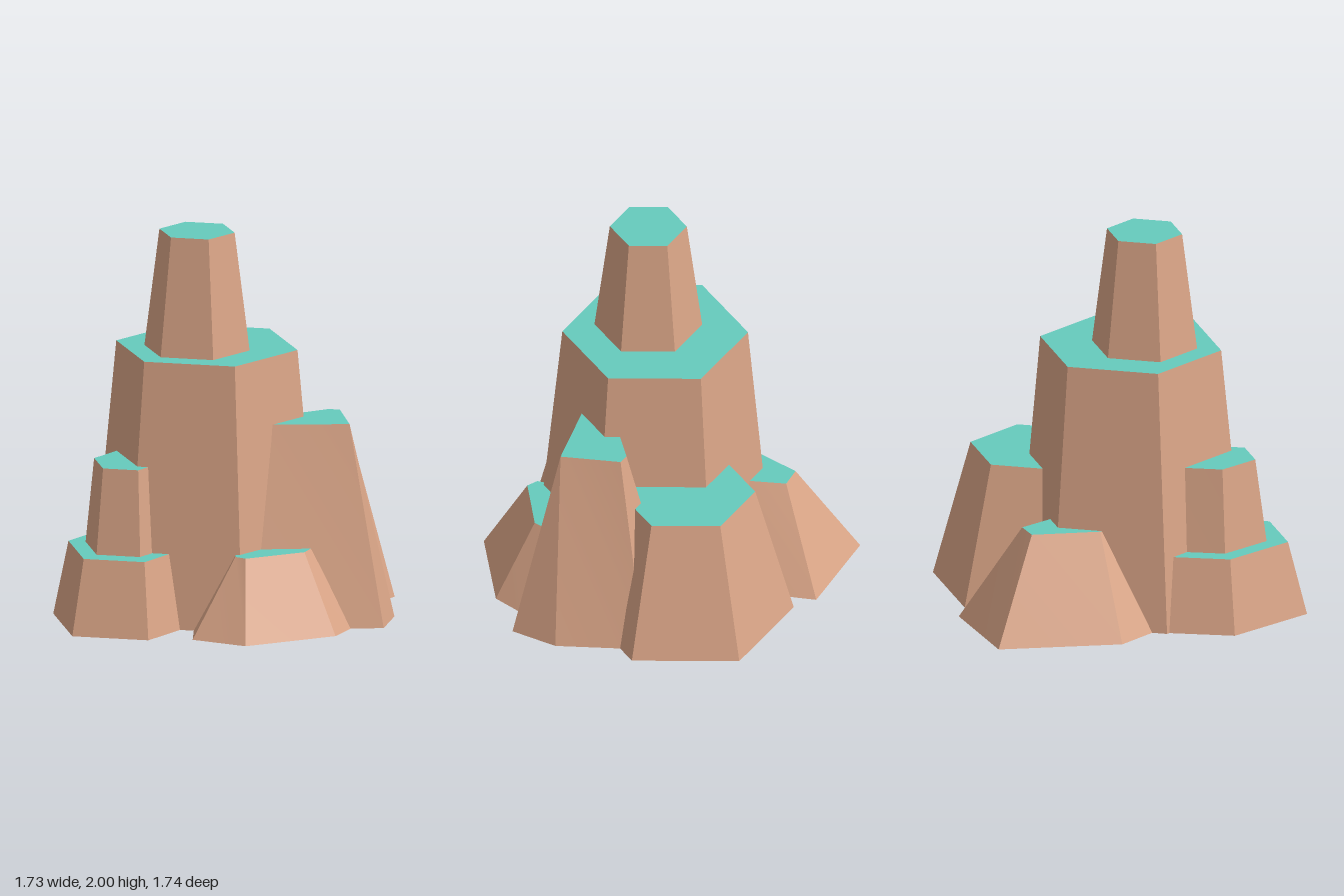
import * as THREE from 'three';

const rockMat = new THREE.MeshStandardMaterial({ color: 0xdaa587 });
const grassMat = new THREE.MeshStandardMaterial({ color: 0x66cbbd });
const baseMat = new THREE.MeshStandardMaterial({ color: 0xcccccc });

function mesh(name, positions, index, material) {
  const g = new THREE.BufferGeometry();
  g.setAttribute('position', new THREE.Float32BufferAttribute(positions, 3));
  g.setIndex(index);
  g.computeVertexNormals();
  const m = new THREE.Mesh(g, material);
  m.name = name;
  return m;
}

// Flat cap over an outline of [x, z] points
function cap(name, outline, y, up, material) {
  const index = [];
  for (let i = 1; i < outline.length - 1; i++) index.push(0, up ? i : i + 1, up ? i + 1 : i);
  return mesh(name, outline.flatMap(([x, z]) => [x, y, z]), index, material);
}

// Tapered pillar between two outlines: sloping sides, grassy top, plain underside
function pillar(name, bottom, top, y0, y1) {
  const group = new THREE.Group();
  group.name = name;
  const pos = [], index = [], n = bottom.length;
  for (let i = 0; i < n; i++) {
    const j = (i + 1) % n, k = i * 4;
    const [bl, br, tl, tr] = [bottom[i], bottom[j], top[i], top[j]];
    pos.push(bl[0], y0, bl[1], br[0], y0, br[1], tr[0], y1, tr[1], tl[0], y1, tl[1]);
    index.push(k, k + 1, k + 3, k + 1, k + 2, k + 3);
  }
  group.add(mesh('rockSides', pos, index, rockMat));
  group.add(cap('grassTop', top, y1, true, grassMat));
  if (y0 === 0) group.add(cap('underside', bottom, y0, false, baseMat));
  return group;
}

// Hexagon outline with corners on the x axis, optionally stretched in z
function hex(cx, cz, r, stretch = 1) {
  return Array.from({ length: 6 }, (_, i) => {
    const a = (i * Math.PI) / 3;
    return [cx + r * Math.cos(a), cz - r * stretch * Math.sin(a)];
  });
}

export function createModel() {
  const model = new THREE.Group();
  model.name = 'rockFormation';

  // Regular pillars
  model.add(
    pillar('mainPillar', hex(-0.13, 0.075, 0.606), hex(-0.13, 0.067, 0.477), 0, 1.38),
    pillar('summitPillar', hex(-0.168, 0.13, 0.277), hex(-0.168, 0.13, 0.198), 1.38, 2),
    pillar('frontRightStep', hex(-0.465, 0.4, 0.4, 1.3), hex(-0.465, 0.4, 0.32, 1.3), 0, 0.39),
    pillar('frontRightPillar', hex(-0.465, 0.4, 0.23, 1.3), hex(-0.465, 0.4, 0.185, 1.28), 0.39, 0.835),
    pillar('backLeftPillar', hex(0.22, -0.325, 0.552), hex(0.22, -0.325, 0.354), 0, 0.73),
  );

  // Tall irregular rock on the left
  model.add(pillar('leftRock',
    [[0.86, 0.335], [0.86, 0.08], [0.655, -0.33], [0.33, -0.33], [0.1, -0.1], [0.2, 0.53]],
    [[0.645, 0.175], [0.645, 0.175], [0.53, -0.115], [0.47, -0.115], [0.25, 0.08], [0.2, 0.29]],
    0, 1.03));

  // Low irregular rock at the front
  model.add(pillar('frontRock',
    [[-0.1, 0.5], [-0.045, 0.79], [0.25, 0.865], [0.655, 0.555], [0.74, 0.2], [0.3, 0.2]],
    [[0.12, 0.5], [0.14, 0.61], [0.2, 0.635], [0.465, 0.435], [0.5, 0.25], [0.26, 0.3]],
    0, 0.405));

  // Irregular rock at the back right
  model.add(pillar('backRightRock',
    [[-0.17, -0.87], [-0.7, -0.82], [-0.815, -0.19], [-0.6, 0.17], [-0.2, -0.1], [-0.05, -0.53]],
    [[-0.35, -0.585], [-0.47, -0.57], [-0.53, -0.22], [-0.45, -0.1], [-0.3, -0.2], [-0.25, -0.35]],
    0, 0.52));

  return model;
}
